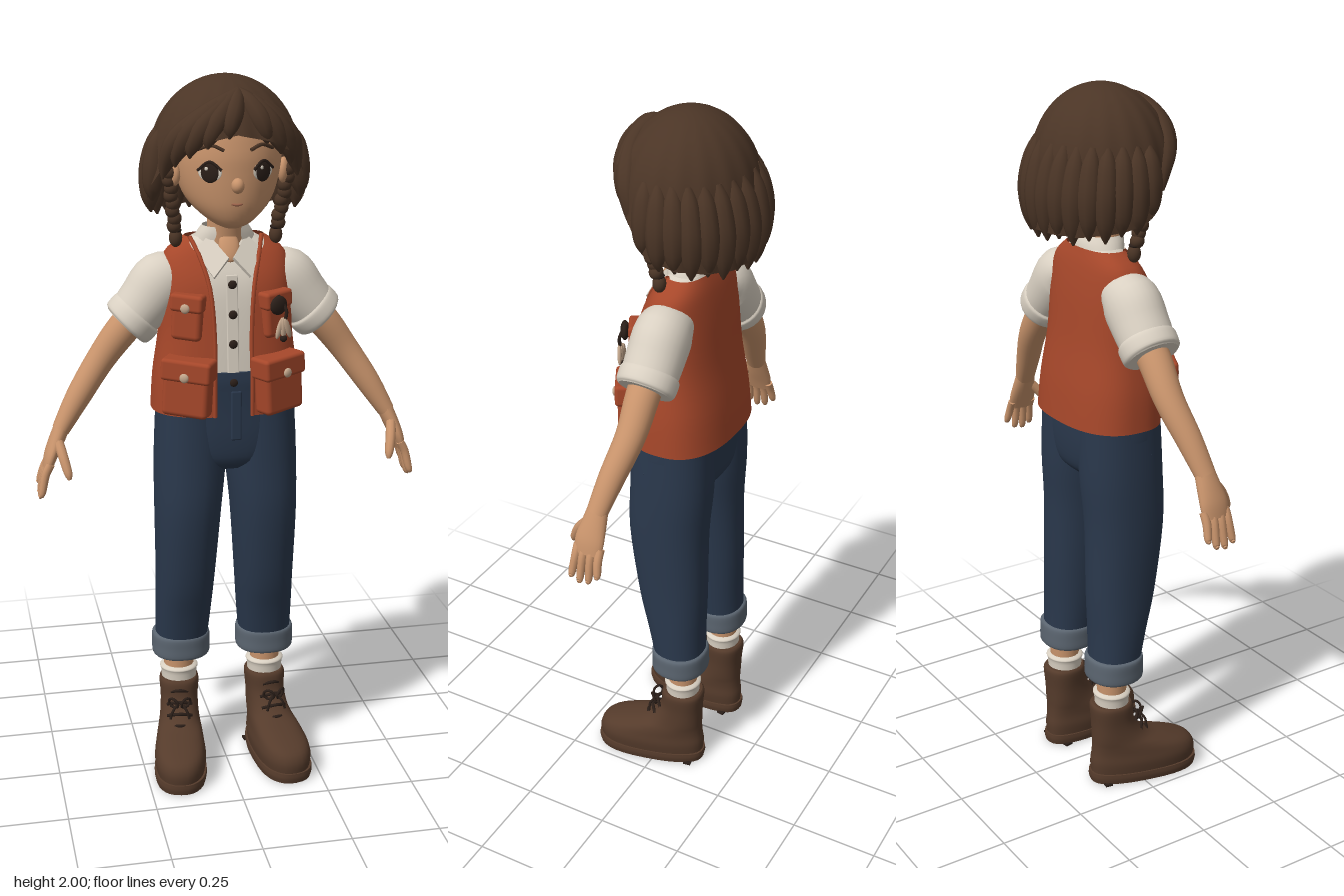
import * as THREE from 'three';
import { RoundedBoxGeometry } from 'three/addons/geometries/RoundedBoxGeometry.js';

const V = (x, y, z) => new THREE.Vector3(x, y, z);
const mat = (name, color, side = THREE.FrontSide) => {
  const m = new THREE.MeshStandardMaterial({ color, side });
  m.name = name;
  return m;
};
const pw = (v, e) => Math.sign(v) * Math.abs(v) ** e;

// Smooth surface over a grid of points; u wraps round when closed, v runs upward
function grid(fn, nu, nv, closed, caps = false) {
  const pos = [], idx = [], w = closed ? nu : nu + 1;
  for (let j = 0; j <= nv; j++) for (let i = 0; i < w; i++) pos.push(...fn(i / nu, j / nv).toArray());
  for (let j = 0; j < nv; j++) for (let i = 0; i < nu; i++) {
    const a = j * w + i, b = j * w + (i + 1) % w;
    idx.push(a, b, a + w, b, b + w, a + w);
  }
  if (caps) for (const v of [0, 1]) {
    const base = pos.length / 3, c = V(0, 0, 0);
    for (let i = 0; i < nu; i++) { const p = fn(i / nu, v); c.addScaledVector(p, 1 / nu); pos.push(...p.toArray()); }
    pos.push(...c.toArray());
    for (let i = 0; i < nu; i++) {
      const a = base + i, b = base + (i + 1) % nu;
      idx.push(...(v ? [a, b, base + nu] : [b, a, base + nu]));
    }
  }
  const g = new THREE.BufferGeometry();
  g.setAttribute('position', new THREE.Float32BufferAttribute(pos, 3));
  g.setIndex(idx);
  g.computeVertexNormals();
  return g;
}

// Value of a ring list at t, each entry splined
function sample(rings, t) {
  const n = rings.length - 1, f = t * n, i = Math.min(Math.floor(f), n - 1), u = f - i;
  const at = k => rings[Math.max(0, Math.min(n, k))];
  return rings[0].map((_, k) => {
    const [a, b, c, d] = [at(i - 1)[k], at(i)[k], at(i + 1)[k], at(i + 2)[k]];
    return b + 0.5 * u * (c - a + u * (2 * a - 5 * b + 4 * c - d + u * (3 * (b - c) + d - a)));
  });
}

// Loft through rings [x, y, z, halfWidth, halfDepth, frontOpening]; level rings or rings across the path
function loft(rings, { n = 28, sub = 4, level = true, e = 1, open = false } = {}) {
  return grid((u, v) => {
    const [x, y, z, a, b, o = 0] = sample(rings, v);
    let T = V(0, 1, 0);
    if (!level) {
      const p = sample(rings, Math.max(0, v - 0.02)), q = sample(rings, Math.min(1, v + 0.02));
      T = V(q[0] - p[0], q[1] - p[1], q[2] - p[2]).normalize();
    }
    const w = V(0, 0, 1).addScaledVector(T, -T.z).normalize(), side = T.clone().cross(w);
    const ang = o + u * (Math.PI * 2 - 2 * o);
    return V(x, y, z).addScaledVector(side, a * pw(Math.sin(ang), e)).addScaledVector(w, b * pw(Math.cos(ang), e));
  }, n, (rings.length - 1) * sub, !open, !open);
}
const ball = (rx, ry, rz) => new THREE.SphereGeometry(1, 20, 14).scale(rx, ry, rz);
const wire = (pts, r) => new THREE.TubeGeometry(new THREE.CatmullRomCurve3(pts.map(p => V(...p))), 16, r, 6);

export function createModel() {
  const D = THREE.DoubleSide;
  const M = {
    skin: mat('skin', 0xc9946c), hair: mat('hairBrown', 0x4b3526, D), vest: mat('rustVest', 0xa6472a, D),
    cream: mat('creamCloth', 0xd9d0c2, D), denim: mat('denim', 0x2a384c), cuff: mat('denimInside', 0x5b6570),
    boot: mat('bootLeather', 0x553b2b), dark: mat('darkBrown', 0x2b1f19), metal: mat('paleButton', 0xc2a68c),
    lip: mat('lip', 0xa5684f),
  };
  const root = new THREE.Group();
  const add = (name, geo, m, p = [0, 0, 0], r = [0, 0, 0], parent = root) => {
    const mesh = new THREE.Mesh(geo, m);
    mesh.name = name;
    mesh.position.set(...p);
    mesh.rotation.set(...r);
    parent.add(mesh);
    return mesh;
  };

  // Head and face
  add('head', loft([[0, 1.613, .075, .02, .02], [0, 1.628, .07, .052, .05], [0, 1.66, .045, .092, .09], [0, 1.70, .02, .122, .122],
    [0, 1.76, .01, .14, .135], [0, 1.82, 0, .145, .143], [0, 1.90, -.01, .13, .13], [0, 1.96, -.02, .07, .07]], { n: 36 }), M.skin);
  add('neck', loft([[0, 1.5, -.03, .075, .055], [0, 1.56, -.02, .052, .05], [0, 1.68, 0, .05, .055]]), M.skin);
  add('nose', ball(.017, .02, .02), M.skin, [0, 1.732, .147]);
  const faceZ = x => .01 + .136 * Math.sqrt(1 - (x / .141) ** 2);
  add('mouth', wire([[-.03, 1.688, .128], [0, 1.682, .139], [.03, 1.688, .128]], .004), M.lip);
  for (const s of [-1, 1]) {
    const face = new THREE.Group();
    face.name = 'eye';
    face.position.set(s * .069, 1.766, faceZ(.069));
    face.rotation.y = s * .5;
    root.add(face);
    add('eyeWhite', ball(.032, .024, .004), M.cream, [0, 0, 0], [0, 0, 0], face);
    add('iris', ball(.025, .027, .006), M.dark, [0, 0, .001], [0, 0, 0], face);
    add('eyeGlint', ball(.005, .005, .002), M.cream, [-.008, .01, .007], [0, 0, 0], face);
    add('lashes', wire([[-.033, .004, .003], [0, .027, .004], [.033, .006, .003]], .004), M.dark, [0, 0, 0], [0, 0, 0], face);
    add('eyebrow', wire([.035, .065, .1].map((x, i) => [s * x, [1.822, 1.834, 1.822][i], faceZ(x) + .002]), .005), M.hair);
    add('ear', ball(.016, .035, .026), M.skin, [s * .148, 1.752, .03], [0, s * -.4, 0]);
  }

  // Bob hair: a shell whose lower edge rises over the face, with overlapping locks
  const edge = [[0, 1.86], [.5, 1.84], [.9, 1.805], [1.2, 1.755], [1.5, 1.675], [1.9, 1.65], [2.5, 1.635], [Math.PI, 1.635]];
  const edgeY = a => {
    const i = Math.max(1, edge.findIndex(q => q[0] >= a - 1e-6)), [p, q] = [edge[i - 1], edge[i]];
    return p[1] + (q[1] - p[1]) * (a - p[0]) / (q[0] - p[0]);
  };
  const hairAt = (a, y, k = 1) => {
    const h = (y - 1.78) / .22;
    let R = h > 0 ? Math.sqrt(Math.max(0, 1 - h * h)) : 1 + .06 * Math.sin(Math.min(1, -h / .6) * Math.PI * .75);
    R *= k;
    return V(.2 * R * Math.sin(a), y, -.02 + .183 * R * Math.cos(a));
  };
  add('hairShell', grid((u, v) => {
    const a = (u - .5) * Math.PI * 2, y0 = edgeY(Math.abs(a));
    const ripple = 1 + .018 * Math.sin(17 * a) * (1 - v);
    return hairAt(a, y0 + (2 - y0) * Math.sin(v * Math.PI / 2), ripple);
  }, 96, 20, true), M.hair);
  const lock = (a0, y0, a1, y1, w, k = .96) => {
    const rings = [0, .3, .6, .85, 1].map((t, i) => {
      const p = hairAt(a0 + (a1 - a0) * Math.sin(t * Math.PI / 2), y0 + (y1 - y0) * t ** 1.3, k);
      return [p.x, p.y, p.z, w * [.3, .8, 1, .7, .08][i], w * [.3, .8, 1, .7, .08][i]];
    });
    add('hairLock', loft(rings, { n: 10, level: false }), M.hair);
  };
  for (const [a, y] of [[-1.15, 1.74], [-.92, 1.775], [-.68, 1.80], [-.42, 1.825], [-.12, 1.85], [.45, 1.835], [.7, 1.805], [.94, 1.775], [1.15, 1.74]])
    lock(.16, 1.965, a, y, .03, .95);
  for (const s of [-1, 1]) for (let i = 0; i < 8; i++) {
    const a = 1.45 + i * .225;
    lock(s * (a - .05), 1.86, s * a, edgeY(Math.min(a, Math.PI)) - .012 - .012 * (i % 2), .034, .95);
  }
  // Thin braids in front of the ears
  for (const s of [-1, 1]) {
    for (let i = 0; i < 8; i++)
      add('braidKnot', ball(.019, .02, .019), M.hair, [s * (.158 - i * .0028 + (i % 2) * .004), 1.755 - i * .021, .035 - i * .005], [0, 0, (i % 2 ? .5 : -.5)]);
    add('braidBand', ball(.016, .008, .016), M.dark, [s * .137, 1.596, -.004]);
    add('braidTip', ball(.018, .025, .018), M.hair, [s * .137, 1.575, -.006]);
  }

  // Shirt body, collar and buttons
  add('shirt', loft([[0, 1.2, -.025, .18, .118], [0, 1.32, -.02, .168, .107], [0, 1.45, -.02, .166, .092],
    [0, 1.53, -.03, .15, .067], [0, 1.575, -.035, .085, .048]], { e: .8, n: 40 }), M.cream);
  add('collarStand', loft([[0, 1.555, -.032, .092, .062, .5], [0, 1.585, -.026, .076, .062, .45], [0, 1.605, -.02, .062, .058, .6]], { open: true }), M.cream);
  add('placket', new RoundedBoxGeometry(.032, .28, .008, 2, .003), M.cream, [0, 1.345, .084], [-.09, 0, 0]);
  [[1.46, .081], [1.38, .09], [1.3, .095]].forEach(([y, z]) => add('shirtButton', ball(.012, .012, .006), M.dark, [0, y, z]));
  for (const s of [-1, 1]) {
    const flap = new THREE.Shape([[.004, 0], [.05, .075], [.092, .035], [.05, -.05]].map(([x, y]) => new THREE.Vector2(s * x, y)));
    add('collarFlap', new THREE.ExtrudeGeometry(flap, { depth: .01, bevelEnabled: false }), M.cream, [0, 1.525, .06], [-.62, s * .3, 0]);
  }
  add('neckSkin', ball(.028, .045, .012), M.skin, [0, 1.555, .036], [-.5, 0, 0]);

  // Open vest with its edge piping
  const vestRings = [[0, 1.10, -.03, .206, .135, .178], [0, 1.2, -.025, .2, .13, .185], [0, 1.32, -.02, .184, .116, .2],
    [0, 1.45, -.02, .18, .101, .256], [0, 1.53, -.03, .165, .076, .42], [0, 1.575, -.038, .108, .053, 1.09]];
  add('vest', loft(vestRings, { open: true, e: .8, n: 56, sub: 5 }), M.vest);
  for (const s of [-1, 1]) {
    add('vestEdge', wire(vestRings.map(([x, y, z, a, b, o]) => [s * a * pw(Math.sin(o), .8), y, z + b * pw(Math.cos(o), .8)]), .006), M.vest);
    // Flap pockets
    const pocket = (name, p, yaw, w, h, d, button) => {
      const g = new THREE.Group();
      g.name = name;
      g.position.set(...p);
      g.rotation.set(0, s * yaw, s * .06);
      root.add(g);
      add('pouch', new RoundedBoxGeometry(w, h, d, 3, .014), M.vest, [0, 0, 0], [0, 0, 0], g);
      add('pocketFlap', new RoundedBoxGeometry(w * 1.08, h * .4, d + .014, 3, .01), M.vest, [0, h * .36, 0], [0, 0, 0], g);
      if (button) add('pocketButton', ball(.013, .013, .007), M.metal, [0, h * .26, d / 2 + .009], [0, 0, 0], g);
    };
    pocket('lowerPocket', [s * .125, 1.185, .098], .5, .13, .15, .06, true);
    pocket('upperPocket', [s * .12, 1.372, .07], .5, .085, .12, .035, s < 0);

    // Sleeve with rolled hem, arm and hand
    add('sleeve', loft([[s * .11, 1.475, -.035, .045, .06], [s * .165, 1.455, -.035, .082, .076], [s * .215, 1.4, -.035, .077, .077],
      [s * .262, 1.345, -.035, .068, .074]], { level: false }), M.cream);
    add('sleeveHem', loft([[s * .236, 1.372, -.035, .07, .075], [s * .243, 1.365, -.035, .077, .081], [s * .265, 1.342, -.035, .076, .08], [s * .272, 1.335, -.035, .066, .072]], { level: false }), M.cream);
    add('arm', loft([[s * .2, 1.41, -.035, .046, .046], [s * .28, 1.325, -.035, .045, .045], [s * .345, 1.24, -.035, .039, .04],
      [s * .41, 1.145, -.015, .034, .035], [s * .462, 1.06, .002, .024, .029]], { level: false }), M.skin);
    add('palm', loft([[s * .455, 1.075, 0, .022, .028], [s * .475, 1.03, .004, .021, .036], [s * .492, .99, .008, .018, .042], [s * .503, .955, .008, .013, .038]], { level: false, n: 20 }), M.skin);
    const finger = (name, pts, r) => add(name, loft(pts.map((p, i) => [s * p[0], p[1], p[2], r * [1, 1, .85, .35][i], r * [1, 1, .85, .35][i]]), { level: false, n: 10 }), M.skin);
    [-.026, -.003, .02, .041].forEach((z, i) => {
      const l = [.055, .075, .08, .07][i];
      finger('finger', [[.495, .975, z], [.51, .945, z], [.522, .965 - l, z * 1.15], [.53, .958 - l, z * 1.15]], .0115);
    });
    finger('thumb', [[.472, 1.04, .02], [.462, 1.0, .055], [.452, .96, .078], [.449, .942, .085]], .014);

    // Trouser leg and turn-up
    add('trouserLeg', loft([[s * .125, .36, -.06, .074, .07], [s * .12, .48, -.045, .08, .083], [s * .115, .6, -.03, .084, .1], [s * .109, .8, -.015, .093, .114],
      [s * .101, .95, -.02, .1, .118], [s * .094, 1.1, -.022, .1, .115]], { e: .9 }), M.denim);
    add('turnUp', loft([[s * .125, .335, -.058, .07, .068], [s * .125, .34, -.058, .083, .08], [s * .125, .37, -.058, .084, .081],
      [s * .125, .4, -.057, .083, .08], [s * .125, .406, -.057, .072, .07]], { e: .9 }), M.cuff);
    add('hipPocket', wire([[s * .105, 1.09, .085], [s * .15, 1.05, .065], [s * .19, 1.02, .015]], .006), M.denim);

    // Ankle, sock and boot, toes turned out
    const foot = new THREE.Group();
    foot.name = 'foot';
    foot.position.set(s * .13, 0, -.068);
    foot.rotation.y = s * .15;
    root.add(foot);
    const put = (name, geo, m, p, r) => add(name, geo, m, p, r, foot);
    put('ankle', loft([[0, .26, 0, .043, .042], [0, .38, 0, .045, .044]]), M.skin);
    put('sock', loft([[0, .2, 0, .05, .048], [0, .27, 0, .052, .05], [0, .286, 0, .056, .054], [0, .293, 0, .045, .044]]), M.cream);
    const widen = g => {
      const p = g.attributes.position;
      for (let i = 0; i < p.count; i++) {
        const low = THREE.MathUtils.smoothstep(.17 - p.getY(i), 0, .07);
        p.setX(i, p.getX(i) * (1 + low * 1.1 * THREE.MathUtils.clamp(p.getZ(i), -.02, .22)));
      }
      g.computeVertexNormals();
      return g;
    };
    put('boot', widen(loft([[0, .025, .1, .062, .162], [0, .06, .1, .066, .164], [0, .09, .092, .063, .152], [0, .115, .06, .06, .118],
      [0, .14, .025, .057, .083], [0, .19, .004, .055, .063], [0, .24, -.001, .058, .062], [0, .253, -.001, .052, .056]], { e: .85, n: 36 })), M.boot);
    put('sole', widen(loft([[0, 0, .1, .064, .165], [0, .016, .1, .067, .168], [0, .03, .1, .066, .167]], { e: .8, n: 36 })), M.boot);
    for (let i = 0; i < 6; i++) put('tread', new THREE.BoxGeometry(.11, .006, .022), M.dark, [0, .001, -.03 + i * .045]);
    for (let i = 0; i < 4; i++)
      put('lace', wire([[-.036, .125 + i * .03, .094 - i * .016], [0, .138 + i * .03, .112 - i * .016], [.036, .125 + i * .03, .094 - i * .016]], .005), M.dark);
    for (const k of [-1, 1]) {
      put('laceLoop', new THREE.TorusGeometry(.016, .004, 6, 16), M.dark, [k * .018, .2, .087], [.3, k * .6, 0]);
      put('laceEnd', wire([[0, .2, .078], [k * .02, .18, .098], [k * .028, .155, .1]], .004), M.dark);
    }
  }

  // Hips and waistband
  add('trouserHips', loft([[0, .935, -.02, .07, .08], [0, .965, -.02, .16, .108], [0, 1.03, -.021, .193, .118], [0, 1.12, -.022, .193, .119],
    [0, 1.215, -.022, .18, .122]], { e: .85, n: 40 }), M.denim);
  add('waistband', loft([[0, 1.17, -.022, .184, .123], [0, 1.195, -.022, .184, .124], [0, 1.222, -.022, .182, .122]], { e: .85, n: 40 }), M.denim);
  add('fly', new RoundedBoxGeometry(.03, .14, .012, 2, .005), M.denim, [.008, 1.1, .096]);
  add('waistButton', ball(.011, .011, .006), M.dark, [0, 1.195, .103]);

  // Charm hanging on the left chest pocket
  add('charmClip', ball(.028, .026, .012), M.dark, [.12, 1.405, .11], [0, .5, 0]);
  add('charmCord', wire([[.12, 1.43, .1], [.14, 1.39, .115], [.132, 1.35, .115]], .005), M.dark);
  for (let i = -1; i <= 1; i++) add('charmFeather', ball(.009, .03, .006), M.metal, [.133 + i * .011, 1.343, .114], [0, .5, i * .35]);
  add('charmBead', ball(.01, .01, .01), M.dark, [.133, 1.315, .114]);
  return root;
}
